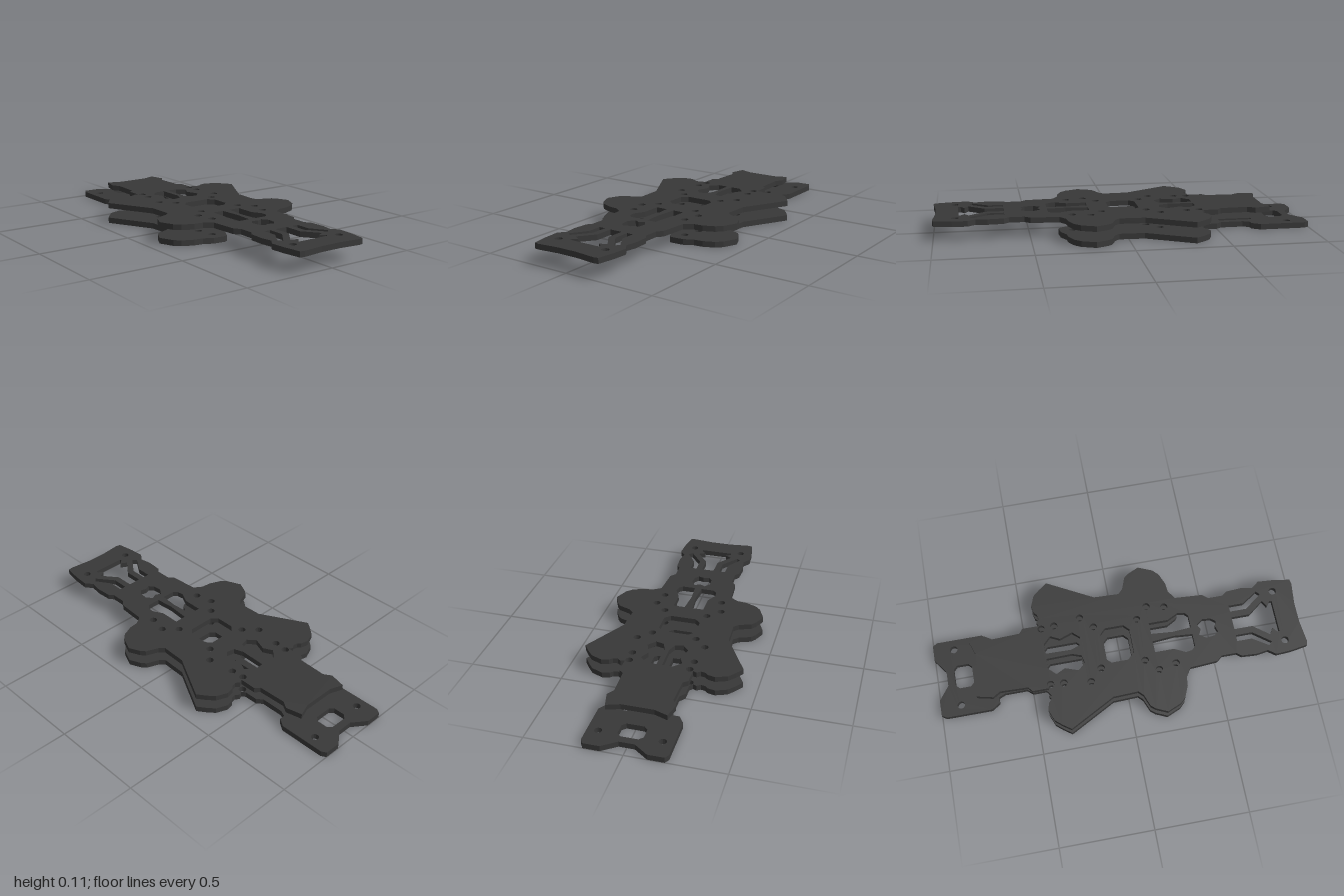
import * as THREE from 'three';

const carbon = new THREE.MeshStandardMaterial({ color: 0x383838 });
carbon.name = 'dark carbon';

// plan points are [x, z]; outlines run anticlockwise and holes clockwise so that all walls face outwards
function toPlan(pts, clockwise) {
  const plan = pts.map(([x, z]) => new THREE.Vector2(x, -z));
  return THREE.ShapeUtils.isClockWise(plan) === clockwise ? plan : plan.reverse();
}
const flip = (pts) => pts.map(([x, z]) => [-x, z]);
// closes a half outline (x > 0) with its mirror image
const whole = (half) => [...half, ...flip(half).reverse()];

function circle(x, z, r = 0.02) {
  const pts = [];
  for (let i = 0; i < 14; i++) {
    const a = (i / 14) * Math.PI * 2;
    pts.push([x + r * Math.cos(a), z + r * Math.sin(a)]);
  }
  return pts;
}

// box-shaped hole with cut corners
function chamfered(w, z0, z1, c) {
  return whole([[w - c, z0], [w, z0 + c], [w, z1 - c], [w - c, z1]]);
}

function plate(name, halfOutline, centreHoles, pairedHoles, y, thickness) {
  const shape = new THREE.Shape(toPlan(whole(halfOutline), false));
  const holes = [...centreHoles];
  for (const h of pairedHoles) holes.push(h, flip(h));
  for (const h of holes) shape.holes.push(new THREE.Path(toPlan(h, true)));
  const geo = new THREE.ExtrudeGeometry(shape, { depth: thickness, bevelEnabled: false });
  geo.rotateX(-Math.PI / 2);
  geo.translate(0, y, 0);
  const mesh = new THREE.Mesh(geo, carbon);
  mesh.name = name;
  return mesh;
}

// arm outline shared by both plates, rear to front
const arms = [
  [0.18, -0.41], [0.2, -0.42], [0.22, -0.405], [0.245, -0.41], [0.26, -0.425], [0.3, -0.434],
  [0.36, -0.41], [0.39, -0.375], [0.422, -0.33], [0.29, -0.085], [0.285, 0.05], [0.31, 0.075],
  [0.375, 0.1], [0.395, 0.125], [0.422, 0.185], [0.39, 0.26], [0.36, 0.29], [0.3, 0.315], [0.25, 0.32],
];

// screw holes that pass through both plates
const screws = [
  [0.16, -0.4], [0.165, -0.33], [0.185, -0.185], [0.12, -0.12],
  [0.12, 0.12], [0.185, 0.185], [0.165, 0.28],
].map(([x, z]) => circle(x, z));

export function createModel() {
  const model = new THREE.Group();
  model.name = 'frame plates';

  // upper plate, with the long nose
  const upperOutline = [
    [0.085, -0.77], [0.155, -0.795], [0.175, -0.71], [0.15, -0.67], [0.155, -0.52],
    [0.18, -0.5], [0.18, -0.43],
    ...arms,
    [0.205, 0.35], [0.195, 0.5], [0.17, 0.53], [0.17, 0.61], [0.19, 0.635], [0.195, 0.72],
    [0.185, 0.78], [0.215, 0.82], [0.21, 0.9], [0.195, 0.995], [0.17, 1], [0.055, 0.987],
  ];
  const upperCentre = [
    chamfered(0.1, -0.09, 0.07, 0.03),
    // nose hole, notched front and back
    [[0, 0.45], [0.03, 0.435], [0.055, 0.47], [0.05, 0.515], [0.03, 0.54], [0, 0.53],
      [-0.03, 0.54], [-0.05, 0.515], [-0.055, 0.47], [-0.03, 0.435]],
    // flared nose window
    whole([[0.035, 0.63], [0.035, 0.73], [0.1, 0.815], [0.065, 0.835], [0.09, 0.855], [0.09, 0.868]]),
  ];
  const upperPairs = [
    ...screws,
    circle(0.145, 0.885),
    // rear and front slots either side of the spine
    [[0.015, -0.4], [0.07, -0.4], [0.11, -0.36], [0.085, -0.31], [0.11, -0.24], [0.075, -0.2], [0.03, -0.21], [0.012, -0.26]],
    [[0.022, 0.18], [0.085, 0.18], [0.085, 0.285], [0.115, 0.345], [0.11, 0.38], [0.09, 0.4], [0.02, 0.4], [0.012, 0.3]],
    // slanted nose slots
    [[0.07, 0.63], [0.105, 0.63], [0.105, 0.71], [0.16, 0.795], [0.14, 0.813], [0.07, 0.72]],
  ];
  model.add(plate('upperPlate', upperOutline, upperCentre, upperPairs, 0.083, 0.029));

  // lower plate, with the tail and a notched front
  const lowerOutline = [
    [0.04, -0.945], [0.115, -1], [0.2, -1], [0.215, -0.975], [0.215, -0.73], [0.185, -0.685],
    [0.155, -0.685], [0.14, -0.65], [0.14, -0.53], [0.165, -0.5], [0.165, -0.43],
    ...arms,
    [0.2, 0.345], [0.13, 0.35], [0.115, 0.34], [0.085, 0.285], [0.085, 0.19],
  ];
  const lowerCentre = [
    chamfered(0.075, -0.077, 0.06, 0.025),
    chamfered(0.065, -0.905, -0.805, 0.02),
  ];
  const lowerPairs = [
    ...screws,
    circle(0.16, -0.89),
    // rear slots
    [[0.02, -0.385], [0.035, -0.4], [0.065, -0.4], [0.08, -0.385], [0.08, -0.225], [0.065, -0.21], [0.02, -0.21]],
    // tail strap slots
    [[0.075, -0.71], [0.105, -0.71], [0.105, -0.53], [0.075, -0.53]],
  ];
  model.add(plate('lowerPlate', lowerOutline, lowerCentre, lowerPairs, 0, 0.03));

  return model;
}
